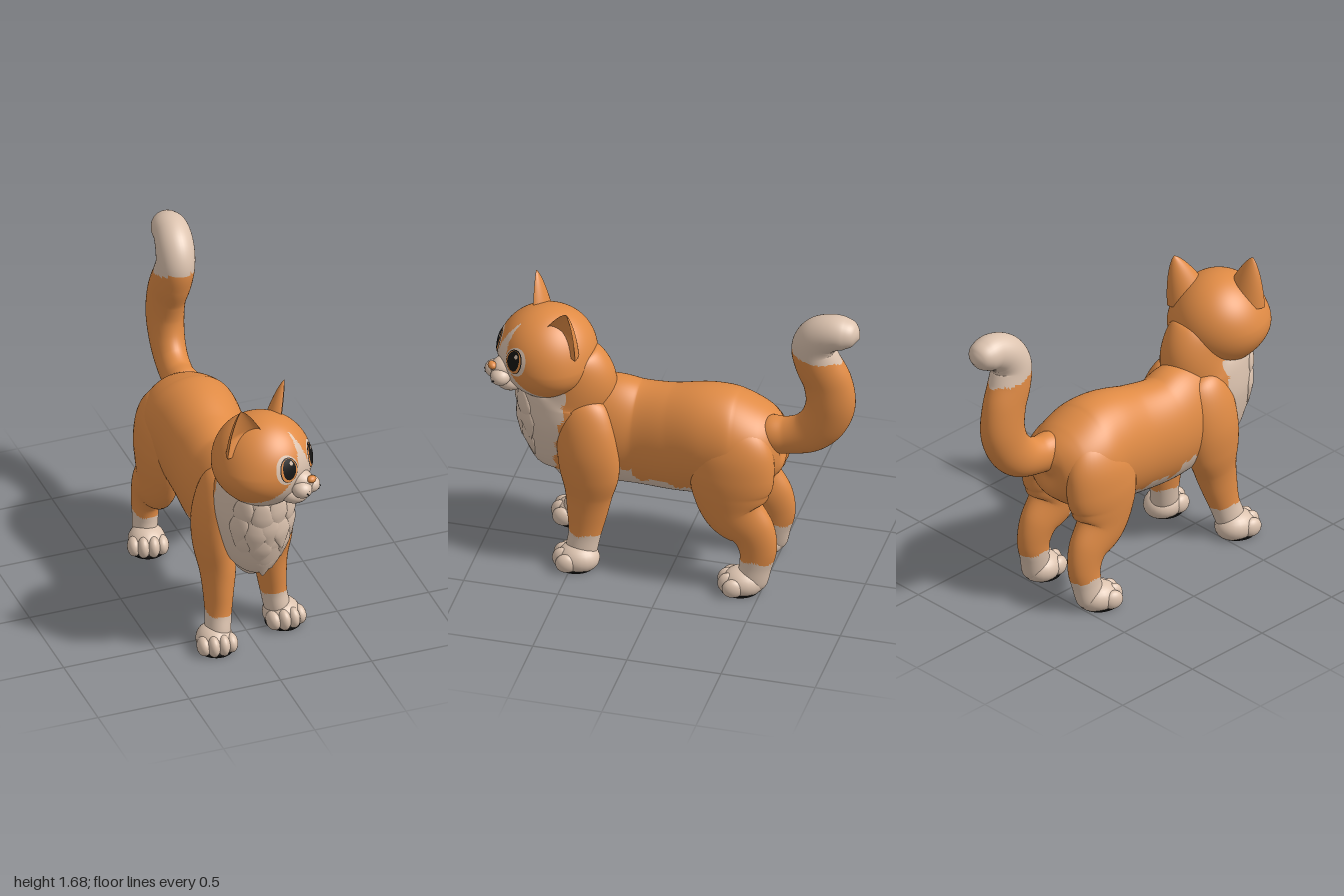
import * as THREE from 'three';
import { mergeGeometries, mergeVertices } from 'three/addons/utils/BufferGeometryUtils.js';

const mat = (name, color) => Object.assign(new THREE.MeshStandardMaterial({ color }), { name });
const orange = mat('orange fur', 0xe08b45);
const cream = mat('cream fur', 0xdcc3af);
const black = mat('black', 0x151413);

// Smooth loft through rows of [x, y, z, half width, half depth]
function loft(rows, steps, sides) {
  const path = new THREE.CatmullRomCurve3(rows.map(r => new THREE.Vector3(r[0], r[1], r[2])), false, 'catmullrom', 0.5);
  const size = new THREE.CatmullRomCurve3(rows.map(r => new THREE.Vector3(r[3], r[4], 0)), false, 'catmullrom', 0.5);
  const pos = [], index = [];
  for (let i = 0; i <= steps; i++) {
    const c = path.getPoint(i / steps), s = size.getPoint(i / steps), t = path.getTangent(i / steps);
    const side = new THREE.Vector3(1, 0, 0).addScaledVector(t, -t.x).normalize();
    const up = t.clone().cross(side);
    for (let j = 0; j < sides; j++) {
      const a = j / sides * Math.PI * 2;
      const p = c.clone().addScaledVector(side, Math.cos(a) * Math.max(s.x, 0.001))
        .addScaledVector(up, Math.sin(a) * Math.max(s.y, 0.001));
      pos.push(p.x, p.y, p.z);
      if (i === steps) continue;
      const k = (j + 1) % sides, m = i * sides, n = m + sides;
      index.push(m + j, m + k, n + j, m + k, n + k, n + j);
    }
  }
  const g = new THREE.BufferGeometry();
  g.setAttribute('position', new THREE.Float32BufferAttribute(pos, 3));
  g.setIndex(index);
  g.computeVertexNormals();
  return g;
}

// Move every vertex by a rule, then weld and smooth
function reshape(geo, rule) {
  const p = geo.attributes.position, v = new THREE.Vector3();
  for (let i = 0; i < p.count; i++) {
    rule(v.fromBufferAttribute(p, i));
    p.setXYZ(i, v.x, v.y, v.z);
  }
  geo.deleteAttribute('uv');
  geo.deleteAttribute('normal');
  const g = mergeVertices(geo, 1e-5);
  g.computeVertexNormals();
  return g;
}

// Orange part with cream faces chosen by a rule on the face centre
function painted(name, geo, isCream) {
  const p = geo.attributes.position, idx = geo.index.array, sets = [[], []];
  for (let i = 0; i < idx.length; i += 3) {
    const f = [idx[i], idx[i + 1], idx[i + 2]];
    const mid = get => (get(f[0]) + get(f[1]) + get(f[2])) / 3;
    sets[isCream(mid(n => p.getX(n)), mid(n => p.getY(n)), mid(n => p.getZ(n))) ? 1 : 0].push(...f);
  }
  geo.setIndex([...sets[0], ...sets[1]]);
  geo.addGroup(0, sets[0].length, 0);
  geo.addGroup(sets[0].length, sets[1].length, 1);
  return named(name, geo, [orange, cream]);
}

function named(name, geo, material) {
  const m = new THREE.Mesh(geo, material);
  m.name = name;
  return m;
}

function ball(name, material, x, y, z, rx, ry, rz) {
  const m = named(name, new THREE.SphereGeometry(1, 22, 16), material);
  m.position.set(x, y, z);
  m.scale.set(rx, ry, rz);
  return m;
}

// Paw with four soft toes and a flat black sole
function paw(name, x, z, yaw) {
  const blob = (bx, by, bz, rx, ry, rz) => new THREE.SphereGeometry(1, 22, 16).scale(rx, ry, rz).translate(bx, by, bz);
  const parts = [blob(0, 0.05, -0.005, 0.098, 0.082, 0.112)];
  for (const s of [-1, 1]) {
    parts.push(blob(s * 0.026, 0.052, 0.075, 0.034, 0.058, 0.052));
    parts.push(blob(s * 0.072, 0.046, 0.048, 0.036, 0.052, 0.056));
  }
  const g = new THREE.Group();
  g.name = name;
  g.add(named('foot', reshape(mergeGeometries(parts), v => { v.y = Math.max(v.y, 0.004); }), cream));
  const sole = named('sole', new THREE.CylinderGeometry(1, 1, 0.009, 32), black);
  sole.position.set(0, 0.0045, 0.01);
  sole.scale.set(0.092, 1, 0.1);
  g.add(sole);
  g.position.set(x, 0, z);
  g.rotation.y = yaw;
  return g;
}

// Skull surface point for a unit direction
function skull(d) {
  const cheek = 1 + 0.05 * Math.exp(-(((d.y + 0.28) / 0.35) ** 2)) - 0.08 * Math.max(0, d.y);
  return d.set(d.x * 0.26 * cheek, d.y * 0.247, d.z * (d.z > 0 ? 0.25 : 0.265));
}

// Thin oval lying on the skull
function facePlate(name, material, x, y, rx, ry, lift) {
  const g = reshape(new THREE.RingGeometry(0.001, 1, 40, 5), v => {
    const dx = (x + v.x * rx) / 0.26, dy = (y + v.y * ry) / 0.247;
    skull(v.set(dx, dy, Math.sqrt(Math.max(0, 1 - dx * dx - dy * dy)))).multiplyScalar(lift);
  });
  return named(name, g, material);
}

// Cupped ear: crescent sections narrowing to a rounded tip
function ear(s) {
  const g = reshape(new THREE.CylinderGeometry(1, 1, 1, 40, 24, true), v => {
    const t = v.y + 0.5, w = Math.pow(1 - t, 0.75) * (1 + 0.2 * t);
    const cup = v.z > 0 ? 0.02 - 0.05 * v.z * Math.min(1, t * 3) : 0.02 + 0.095 * v.z;
    v.set(v.x * 0.118 * w, t * 0.255, cup * w);
  });
  const m = named(s > 0 ? 'left ear' : 'right ear', g, orange);
  m.position.set(s * 0.145, 0.113, -0.015);
  m.rotation.set(0, s * 0.5, -s * 0.24, 'ZYX');
  return m;
}

function buildHead() {
  const head = new THREE.Group();
  head.name = 'head';
  head.add(painted('skull', reshape(new THREE.SphereGeometry(1, 124, 96), skull), (x, y, z) => {
    const a = Math.abs(x);
    const jaw = z > 0 && y < -0.03 - (a - 0.09) * 1.35;
    const blaze = z > 0 && y > -0.06 && y < 0.2 && a < 0.056 * (1 - y / 0.21);
    return jaw || blaze || (y < -0.2 && z > -0.05);
  }));
  head.add(ball('muzzle bridge', cream, 0, -0.055, 0.21, 0.07, 0.065, 0.095));
  head.add(ball('chin', cream, 0, -0.135, 0.195, 0.08, 0.055, 0.08));
  head.add(ball('nose', orange, 0, -0.026, 0.3, 0.028, 0.02, 0.022));
  for (const s of [-1, 1]) {
    head.add(ear(s));
    head.add(ball('muzzle puff', cream, s * 0.038, -0.08, 0.268, 0.052, 0.046, 0.053));
    head.add(facePlate('eye white', cream, s * 0.105, 0.045, 0.061, 0.077, 1.006));
    head.add(facePlate('eye rim', black, s * 0.1, 0.045, 0.049, 0.066, 1.012));
    head.add(facePlate('iris', orange, s * 0.1, 0.044, 0.045, 0.062, 1.018));
    head.add(facePlate('pupil', black, s * 0.1, 0.05, 0.036, 0.055, 1.024));
    head.add(facePlate('eye glint', cream, s * 0.1 + 0.012, 0.08, 0.009, 0.011, 1.03));
    for (const [dx, dy] of [[0.045, -0.072], [0.06, -0.084], [0.048, -0.096]])
      head.add(ball('whisker dot', black, s * dx, dy, 0.316, 0.004, 0.004, 0.004));
  }
  head.position.set(0.02, 1.17, 0.688);
  head.rotation.set(0, 0.64, -0.07, 'YXZ');
  return head;
}

const chestRows = [[0, 0.41, 0.52, 0.01, 0.01], [0, 0.44, 0.53, 0.07, 0.1], [0, 0.52, 0.53, 0.12, 0.19],
  [0, 0.65, 0.56, 0.175, 0.24], [0.005, 0.8, 0.575, 0.205, 0.262], [0.01, 0.93, 0.59, 0.2, 0.255],
  [0.02, 1.02, 0.58, 0.18, 0.26], [0.025, 1.12, 0.63, 0.165, 0.215], [0.025, 1.2, 0.67, 0.08, 0.1]];

// Overlapping pointed fur tufts on the chest
function bibTufts() {
  const g = new THREE.Group();
  g.name = 'chest fur';
  const tuft = reshape(new THREE.SphereGeometry(1, 18, 14), v => {
    const w = v.y < 0 ? 1 + v.y * 0.7 : 1;
    v.set(v.x * 0.06 * w, v.y * 0.11, v.z * 0.022 * w);
  });
  for (const [y, n, gap] of [[0.9, 4, 0.085], [0.8, 5, 0.07], [0.7, 4, 0.07], [0.61, 3, 0.06]]) {
    const k = chestRows.findIndex(r => r[1] > y), a = chestRows[k - 1], b = chestRows[k];
    const [cx, , cz, ra, rb] = a.map((q, i) => q + (b[i] - q) * (y - a[1]) / (b[1] - a[1]));
    for (let i = 0; i < n; i++) {
      const x = (i - (n - 1) / 2) * gap, c = Math.sqrt(1 - (x / ra) ** 2);
      const m = named('fur tuft', tuft, cream);
      m.position.set(cx + x, y - (i % 2) * 0.025, cz + rb * c - 0.012);
      m.rotation.set(y < 0.75 ? 0.22 : 0.04, Math.atan2(x / ra / ra, c / rb), x * 1.5, 'YXZ');
      g.add(m);
    }
  }
  return g;
}

const foreRows = [[0.09, 0.98, 0.46, 0.02, 0.04], [0.11, 0.93, 0.46, 0.075, 0.11], [0.14, 0.83, 0.45, 0.1, 0.15],
  [0.165, 0.69, 0.43, 0.106, 0.162], [0.168, 0.55, 0.42, 0.1, 0.155], [0.155, 0.42, 0.427, 0.092, 0.125],
  [0.16, 0.3, 0.435, 0.078, 0.105], [0.17, 0.18, 0.445, 0.068, 0.085], [0.185, 0.08, 0.46, 0.065, 0.08],
  [0.19, 0.03, 0.46, 0.045, 0.055]];
const hindRows = [[0.08, 0.95, -0.33, 0.02, 0.06], [0.11, 0.89, -0.34, 0.09, 0.15], [0.145, 0.79, -0.345, 0.115, 0.205],
  [0.165, 0.67, -0.335, 0.115, 0.222], [0.17, 0.56, -0.33, 0.108, 0.205], [0.175, 0.45, -0.355, 0.093, 0.17],
  [0.18, 0.35, -0.445, 0.08, 0.125], [0.185, 0.25, -0.477, 0.07, 0.102], [0.19, 0.15, -0.468, 0.065, 0.085],
  [0.2, 0.06, -0.45, 0.06, 0.08], [0.2, 0.025, -0.44, 0.04, 0.05]];

export function createModel() {
  const cat = new THREE.Group();
  cat.name = 'cat';

  // Trunk with cream belly
  cat.add(painted('torso', loft([[0, 0.8, -0.572, 0.01, 0.01], [0, 0.8, -0.555, 0.12, 0.13], [0, 0.79, -0.48, 0.21, 0.205],
    [0, 0.775, -0.35, 0.252, 0.275], [0, 0.765, -0.2, 0.245, 0.305], [-0.015, 0.73, 0, 0.217, 0.3],
    [-0.035, 0.715, 0.2, 0.202, 0.295], [-0.02, 0.73, 0.36, 0.2, 0.305], [0, 0.73, 0.5, 0.16, 0.26], [0, 0.73, 0.6, 0.02, 0.05]],
  96, 80), (x, y, z) =>
    z > -0.28 && y < 0.535 + 0.016 * Math.sin(z * 31) + 0.01 * Math.sin(z * 67 + 1) + (z > 0.2 ? 0.045 : 0)));

  // Chest and neck with cream bib
  cat.add(painted('chest', loft(chestRows, 88, 80), (x, y, z) =>
    z > 0.545 + Math.max(0, 0.95 - y) * 0.17 + 0.012 * Math.sin(y * 55) || y < 0.5));
  cat.add(bibTufts());

  // Legs and paws
  for (const s of [-1, 1]) {
    const side = s > 0 ? 'left' : 'right';
    const fore = foreRows.map(([x, y, z, a, b]) => [s * x, y, z + (s < 0 ? 0.125 * Math.max(0, 1 - y / 0.85) : 0), a, b]);
    cat.add(painted(side + ' front leg', loft(fore, 84, 40), (x, y, z) => {
      const patch = s > 0
        ? y > 0.37 && y < 0.58 && z > 0.42 && x < 0.11 + (y - 0.4) * 0.5
        : y < 0.58 && z < 0.565 && x > -0.115 - 0.012 * Math.sin(y * 40);
      return patch || y < 0.195 + 0.008 * Math.sin(z * 50);
    }));
    const hind = hindRows.map(([x, ...r]) => [s * x, ...r]);
    cat.add(painted(side + ' hind leg', loft(hind, 84, 40), (x, y, z) =>
      y < 0.19 + 0.008 * Math.sin(z * 50) || (Math.abs(x) < 0.11 && y < 0.58 && z > -0.3)));
    cat.add(paw(side + ' front paw', s * 0.205, s > 0 ? 0.475 : 0.59, s * 0.1));
    cat.add(paw(side + ' hind paw', s * 0.205, -0.4, s * 0.25));
  }

  // Curled tail with cream tip
  cat.add(painted('tail', loft([[0.03, 0.88, -0.42, 0.05, 0.06], [0.04, 0.87, -0.5, 0.09, 0.1], [0.04, 0.875, -0.6, 0.085, 0.1],
    [0.045, 0.915, -0.71, 0.085, 0.112], [0.05, 1, -0.79, 0.09, 0.122], [0.055, 1.12, -0.83, 0.095, 0.13],
    [0.06, 1.25, -0.815, 0.095, 0.13], [0.07, 1.36, -0.77, 0.1, 0.124], [0.08, 1.46, -0.744, 0.1, 0.113],
    [0.09, 1.54, -0.778, 0.1, 0.107], [0.1, 1.583, -0.85, 0.096, 0.098], [0.1, 1.588, -0.92, 0.088, 0.085],
    [0.1, 1.58, -0.97, 0.06, 0.056], [0.1, 1.573, -0.998, 0.002, 0.002]], 100, 40),
  (x, y, z) => y > 1.425 + (z + 0.75) * 0.23 + 0.006 * Math.sin(x * 60)));

  cat.add(buildHead());
  return cat;
}
